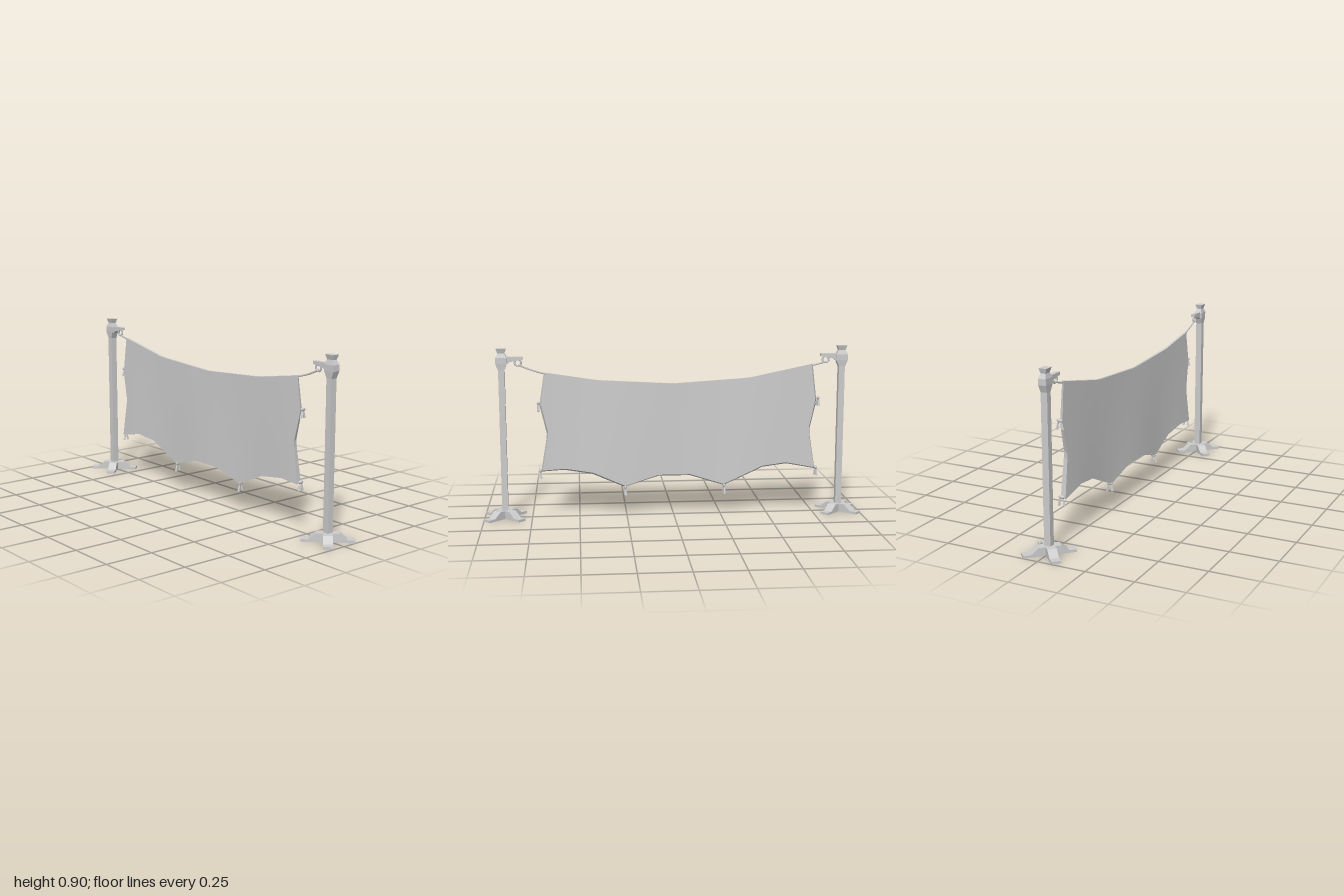
import * as THREE from 'three';

const grey = new THREE.MeshStandardMaterial({ color: 0xcccccc, flatShading: true, side: THREE.DoubleSide });
const soft = new THREE.MeshStandardMaterial({ color: 0xcccccc, side: THREE.DoubleSide });

function add(parent, name, geometry, material = grey) {
  const mesh = new THREE.Mesh(geometry, material);
  mesh.name = name;
  parent.add(mesh);
  return mesh;
}

// Four-sided frustum between two rectangular sections [y, halfX, halfZ]
function frustum([y0, x0, z0], [y1, x1, z1]) {
  const g = new THREE.BoxGeometry(2, 1, 2);
  const p = g.attributes.position;
  for (let i = 0; i < p.count; i++) {
    const top = p.getY(i) > 0;
    p.setXYZ(i, p.getX(i) * (top ? x1 : x0), top ? y1 : y0, p.getZ(i) * (top ? z1 : z0));
  }
  g.computeVertexNormals();
  return g;
}

function slab(points, depth) {
  const shape = new THREE.Shape(points.map(([x, y]) => new THREE.Vector2(x, y)));
  return new THREE.ExtrudeGeometry(shape, { depth, bevelEnabled: false }).translate(0, 0, -depth / 2);
}

// Post with crossed feet, flared head, bracket arm and ring; dir points to the cloth
function makePost(dir) {
  const post = new THREE.Group();
  post.name = dir > 0 ? 'rightPost' : 'leftPost';
  const foot = [[-0.13, 0], [0.13, 0], [0.13, 0.013], [0.092, 0.013], [0.055, 0.043],
    [-0.055, 0.043], [-0.092, 0.013], [-0.13, 0.013]];
  for (const s of [-1, 1]) add(post, 'footBeam', slab(foot, 0.046)).rotation.y = s * Math.PI / 4;
  const sections = [[0.02, 0.016, 0.017], [0.785, 0.016, 0.017], [0.82, 0.03, 0.02],
    [0.85, 0.03, 0.02], [0.873, 0.018, 0.013], [0.897, 0.025, 0.02]];
  const names = ['shaft', 'headFlare', 'head', 'headTaper', 'cap'];
  names.forEach((n, i) => add(post, n, frustum(sections[i], sections[i + 1])));
  const arm = [[0.01, 0.8], [0.045, 0.828], [0.112, 0.84], [0.112, 0.855], [0.01, 0.855]];
  add(post, 'bracketArm', slab(arm.map(([x, y]) => [x * dir, y]), 0.022));
  add(post, 'ring', new THREE.TorusGeometry(0.017, 0.005, 6, 14), soft).position.set(dir * 0.085, 0.824, 0);
  post.position.x = -dir * 0.892;
  return post;
}

// Outline of the cloth as four polylines
const bottom = [[-0.765, 0.23], [-0.61, 0.26], [-0.48, 0.245], [-0.27, 0.15], [-0.09, 0.205],
  [0.08, 0.205], [0.26, 0.15], [0.43, 0.225], [0.58, 0.248], [0.7, 0.24]];
const top = [[-0.74, 0.8], [-0.4, 0.73], [0, 0.705], [0.4, 0.727], [0.675, 0.77]];
const left = [[-0.765, 0.23], [-0.73, 0.44], [-0.765, 0.6], [-0.74, 0.8]];
const right = [[0.7, 0.24], [0.665, 0.44], [0.702, 0.6], [0.675, 0.77]];

// Point on a polyline at fraction t of its extent along the given axis
function along(line, axis, t) {
  const first = line[0][axis], last = line[line.length - 1][axis];
  const value = first + (last - first) * t;
  let i = 0;
  while (i < line.length - 2 && value > line[i + 1][axis]) i++;
  const k = (value - line[i][axis]) / (line[i + 1][axis] - line[i][axis]);
  return [0, 1].map(a => line[i][a] + (line[i + 1][a] - line[i][a]) * k);
}

// Cloth surface blended from its four edges; side is 1 for front, -1 for back
function clothPoint(u, v, side) {
  const b = along(bottom, 0, u), t = along(top, 0, u), l = along(left, 1, v), r = along(right, 1, v);
  const [x, y] = [0, 1].map(a => (1 - v) * b[a] + v * t[a] + (1 - u) * l[a] + u * r[a]
    - (1 - u) * ((1 - v) * left[0][a] + v * left[3][a]) - u * ((1 - v) * right[0][a] + v * right[3][a]));
  const wave = 0.006 * (1 - v) * Math.cos(x * 9);
  const half = 0.006 + 0.009 * (1 - v);
  return side > 0 ? [x, y, wave + half] : [x * 0.988, y + 0.012 * (1 - v), wave - half];
}

function makeCloth() {
  const cloth = new THREE.Group();
  cloth.name = 'cloth';
  const us = [], rows = 18;
  for (let i = 0; i < bottom.length - 1; i++) {
    for (let k = 0; k < 4; k++) us.push((bottom[i][0] + (bottom[i + 1][0] - bottom[i][0]) * k / 4 + 0.765) / 1.465);
  }
  us.push(1);
  const cols = us.length;
  for (const side of [1, -1]) {
    const pos = [], idx = [];
    for (let j = 0; j <= rows; j++) for (const u of us) pos.push(...clothPoint(u, j / rows, side));
    for (let j = 0; j < rows; j++) for (let i = 0; i < cols - 1; i++) {
      const a = j * cols + i, b = a + 1, c = b + cols, d = a + cols;
      idx.push(...(side > 0 ? [a, b, c, a, c, d] : [a, c, b, a, d, c]));
    }
    const g = new THREE.BufferGeometry();
    g.setAttribute('position', new THREE.Float32BufferAttribute(pos, 3));
    g.setIndex(idx);
    g.computeVertexNormals();
    add(cloth, side > 0 ? 'frontSheet' : 'backSheet', g, soft);
  }
  // Hem strip joining the two sheets around the outline
  const loop = us.map(u => [u, 0]);
  for (let j = 1; j <= rows; j++) loop.push([1, j / rows]);
  for (let i = cols - 2; i >= 0; i--) loop.push([us[i], 1]);
  for (let j = rows - 1; j >= 0; j--) loop.push([0, j / rows]);
  const hem = [];
  for (let i = 0; i < loop.length - 1; i++) {
    const [p, q] = [loop[i], loop[i + 1]];
    const pf = clothPoint(...p, 1), pb = clothPoint(...p, -1), qf = clothPoint(...q, 1), qb = clothPoint(...q, -1);
    hem.push(...pf, ...pb, ...qb, ...pf, ...qb, ...qf);
  }
  const g = new THREE.BufferGeometry();
  g.setAttribute('position', new THREE.Float32BufferAttribute(hem, 3));
  g.computeVertexNormals();
  add(cloth, 'hem', g);
  return cloth;
}

// Small knotted tie hanging from the cloth edge
function makeTie(x, y) {
  const tie = new THREE.Group();
  tie.name = 'tie';
  const knot = add(tie, 'knot', new THREE.SphereGeometry(0.01, 8, 6), soft);
  knot.scale.set(0.8, 1, 1.7);
  for (const s of [-1, 1]) {
    const tail = add(tie, 'tail', new THREE.CylinderGeometry(0.003, 0.007, 0.042, 6));
    tail.position.set(s * 0.002, -0.022, s * 0.01);
    tail.rotation.x = -s * 0.2;
  }
  tie.position.set(x, y, 0);
  return tie;
}

function rope(points) {
  const curve = new THREE.CatmullRomCurve3(points.map(([x, y]) => new THREE.Vector3(x, y, 0)));
  return new THREE.TubeGeometry(curve, 8, 0.005, 6);
}

export function createModel() {
  const model = new THREE.Group();
  model.name = 'hangingCloth';
  model.add(makePost(1), makePost(-1), makeCloth());
  // Ropes from the rings to the upper corners
  add(model, 'rope', rope([[-0.808, 0.812], [-0.775, 0.802], [-0.735, 0.793]]), soft);
  add(model, 'rope', rope([[0.805, 0.812], [0.74, 0.785], [0.668, 0.764]]), soft);
  for (const [x, y] of [[-0.771, 0.618], [-0.767, 0.24], [-0.272, 0.152], [0.257, 0.152], [0.702, 0.25], [0.707, 0.61]]) {
    model.add(makeTie(x, y));
  }
  return model;
}
